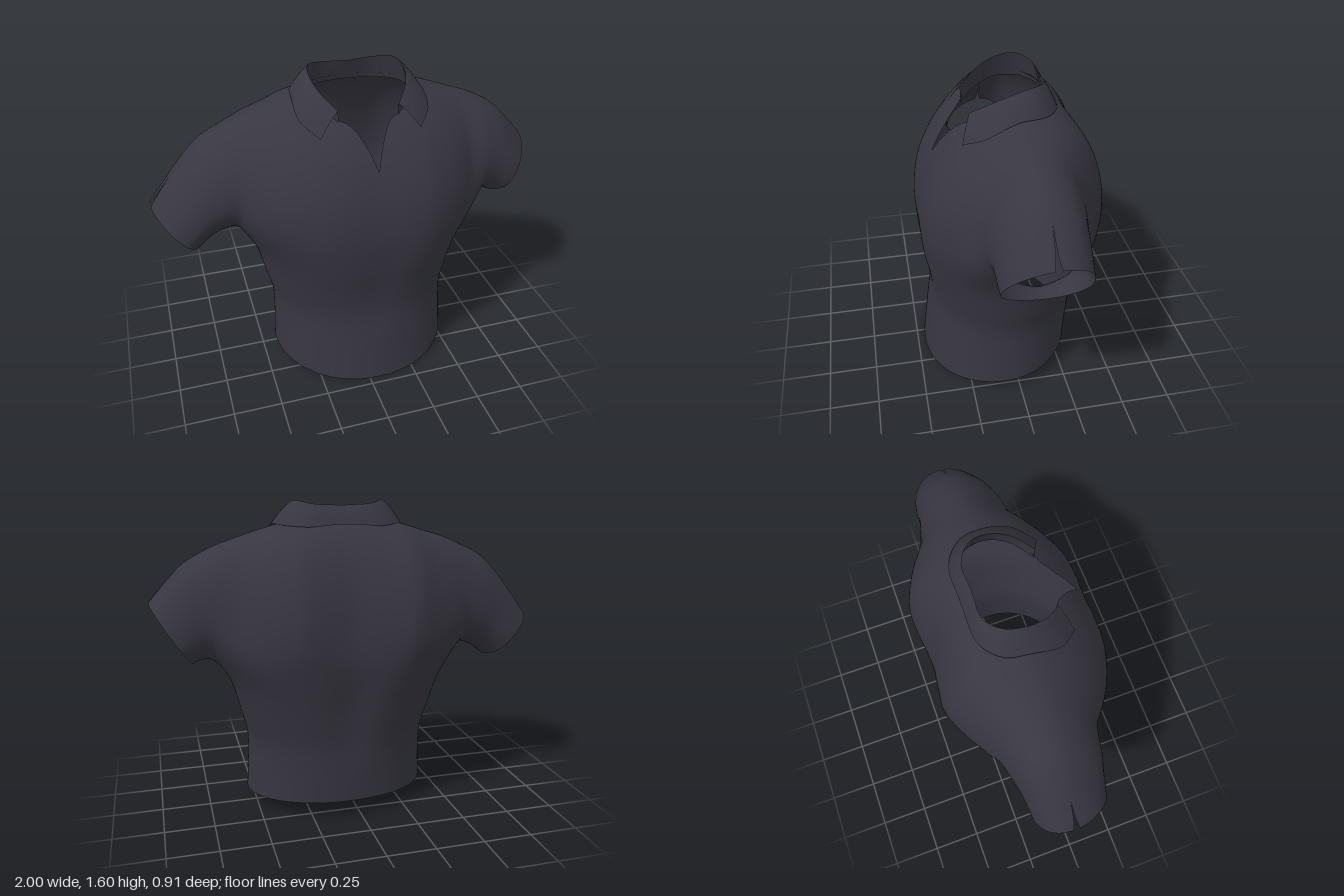
import * as THREE from 'three';
import { mergeVertices } from 'three/addons/utils/BufferGeometryUtils.js';

const CX = 0.055;      // centre line of the body
const ZT = -0.04;      // depth of shoulder ridge and armpits
const YA = 0.84;       // armpit height
const WA = 0.655;      // half width at the armpits
const NECK = 0.29;     // half width of the neck hole
const EXP = { 1: 1.27, [-1]: 0.8 };   // roundness of the front and back arches
const { lerp, clamp, smoothstep } = THREE.MathUtils;

// Smooth curve through [position, value] keys
function curve(keys) {
  const slope = i => {
    const a = keys[Math.max(i - 1, 0)], b = keys[Math.min(i + 1, keys.length - 1)];
    return (b[1] - a[1]) / (b[0] - a[0]);
  };
  return x => {
    let i = 0;
    while (i < keys.length - 2 && x > keys[i + 1][0]) i++;
    const [x0, y0] = keys[i], [x1, y1] = keys[i + 1], h = x1 - x0;
    const t = clamp((x - x0) / h, 0, 1), t2 = t * t, t3 = t2 * t;
    return y0 * (2 * t3 - 3 * t2 + 1) + y1 * (3 * t2 - 2 * t3)
      + h * (slope(i) * (t3 - 2 * t2 + t) + slope(i + 1) * (t3 - t2));
  };
}

// Shoulder line, and front/back outlines seen from above
const shoulder = curve([[-1, 0.99], [-0.9, 1.12], [-0.8, 1.24], [-0.7, 1.33], [-0.6, 1.385], [-0.42, 1.44],
  [-0.25, 1.49], [0.05, 1.54], [0.36, 1.49], [0.6, 1.42], [0.72, 1.385], [0.82, 1.32], [0.9, 1.24], [1, 1.13]]);
const outline = {
  1: curve([[-1, 0.175], [-0.8, 0.195], [-0.6, 0.235], [-0.4, 0.37], [-0.2, 0.44], [0.05, 0.43],
    [0.3, 0.44], [0.42, 0.39], [0.55, 0.29], [0.75, 0.205], [1, 0.175]]),
  [-1]: curve([[-1, 0.21], [-0.8, 0.23], [-0.6, 0.28], [-0.4, 0.38], [-0.25, 0.45], [0.05, 0.415],
    [0.3, 0.45], [0.45, 0.4], [0.6, 0.3], [0.75, 0.25], [1, 0.235]]),
};
// Body half width, side depth, and front/back depth by height
const width = curve([[0, 0.487], [0.06, 0.485], [0.3, 0.475], [0.4, 0.48], [0.5, 0.505], [0.7, 0.56], [0.8, 0.615], [YA, WA]]);
const sideZ = curve([[0, 0.045], [0.4, 0.02], [0.65, -0.015], [YA, ZT]]);
const depth = {
  1: curve([[0, 0.46], [0.2, 0.435], [0.4, 0.41], [0.55, 0.422], [0.7, 0.45], [YA, 0.465], [0.98, 0.465]]),
  [-1]: curve([[0.09, 0.335], [0.3, 0.35], [0.4, 0.36], [0.6, 0.4], [0.74, 0.433], [YA, 0.452], [0.98, 0.46]]),
};
// Neck hole: a V in front, an arc at the back
const neckV = curve([[0, 0.4], [0.15, 0.325], [0.35, 0.25], [0.6, 0.205], [0.85, 0.125], [1, 0]]);
const neckEdge = { 1: neckV, [-1]: t => 0.155 * Math.sqrt(1 - t * t) };

// Body cross-section: oval at the hem, fuller at the chest with a dip along the middle
function section(u, y, side) {
  const s = Math.min(1, Math.abs(u - CX) / WA), k = smoothstep(y, 0.2, 0.8);
  const dip = k * (side > 0 ? 0.03 : 0.08) * Math.exp(-((s / 0.2) ** 2));
  return s > 0.99999 ? 0 : Math.sqrt(1 - s ** lerp(2.1, 2.5, k)) * (1 - dip);
}

// Arch over the shoulder at station u, for the front (1) or back (-1)
function arch(u, side) {
  const e = EXP[side], sgn = Math.sign(u);
  const pit = CX + sgn * WA, cuff = u > 0 ? 0.8 : -0.77;
  const t = Math.max(0, (u - pit) / (sgn - pit));
  const k = t * (sgn - pit) / (cuff - pit + t * (sgn - cuff));   // eased run along the underside
  const r = (depth[side](YA) - side * ZT) * section(u, YA, side);
  const wide = outline[side](u) - side * ZT;
  const R = 0.5 * (wide + r + Math.hypot(wide - r, 0.01));
  const a = Math.acos(Math.min(1, (r / R) ** (1 / e)));
  const yb = lerp(YA, u > 0 ? 0.82 : 0.76, t), yt = shoulder(u);
  const xb = t > 0 ? lerp(pit, cuff, Math.min(k, 1)) : u;
  const down = 0.4 * (yt - yb), yc = yb + down * Math.sin(a), up = yt - yc;
  // upper end: neck edge, sleeve slit or shoulder ridge
  const n = Math.abs(u - CX) / NECK, slit = Math.max(0, (Math.abs(u) - 0.89) / 0.11);
  const gap = n < 1 ? neckEdge[side](n) : 0.006 * slit + 0.01 * slit ** 4;
  const end = Math.acos(Math.min(1, (gap / R) ** (1 / e)));
  return { R, a, e, yb, yt, xb, yc, up, down, end };
}

function archPoint(u, v, side) {
  const c = arch(u, side), q = lerp(-c.a, c.end, v), sn = Math.sin(q);
  const y = c.yc + (sn > 0 ? c.up : c.down) * sn;
  const z = ZT + side * c.R * Math.max(0, Math.cos(q)) ** c.e;
  return [lerp(c.xb, u, (y - c.yb) / (c.yt - c.yb)), y, z];
}

// Point on the body below the armpits; v runs from hem to armpit
function bodyPoint(u, v, side) {
  const zAt = y => sideZ(y) + (side * depth[side](y) - sideZ(y)) * section(u, y, side);
  const hz = zAt(0.05), hem = 0.065 - 0.085 * hz - 0.11 * Math.max(0, hz) ** 2;
  const y = lerp(hem, YA, v);
  return [CX + clamp((u - CX) / WA, -1, 1) * width(y), y, zAt(y)];
}

// Height of the cloth above a spot near the collar
function clothHeight(x, z) {
  const c = arch(x, z > ZT ? 1 : -1);
  const cs = Math.min(1, (Math.abs(z - ZT) / c.R) ** (1 / c.e));
  return c.yc + c.up * Math.sqrt(1 - cs * cs);
}

// Smooth surface from grids of points, each grid[column][row]
function surface(grids) {
  const pos = [], idx = [];
  for (const { grid, flip } of grids) {
    const base = pos.length / 3, n = grid[0].length;
    grid.forEach(col => col.forEach(p => pos.push(...p)));
    for (let i = 0; i < grid.length - 1; i++) for (let j = 0; j < n - 1; j++) {
      const a = base + i * n + j, b = a + n;
      if (flip) idx.push(a, b + 1, b, a, a + 1, b + 1);
      else idx.push(a, b, b + 1, a, b + 1, a + 1);
    }
  }
  const g = new THREE.BufferGeometry();
  g.setAttribute('position', new THREE.Float32BufferAttribute(pos, 3));
  g.setIndex(idx);
  return mergeVertices(g, 1e-4);
}

// Relax the cloth at chest height and around the armholes, leaving the cuffs alone
function relax(g, rounds) {
  const p = g.attributes.position.array, ix = g.index.array;
  const near = Array.from({ length: p.length / 3 }, () => new Set());
  ix.forEach((v, i) => {
    const f = i - i % 3;
    for (let k = 0; k < 3; k++) if (ix[f + k] !== v) near[v].add(ix[f + k]);
  });
  for (let n = 0; n < rounds; n++) {
    const old = p.slice();
    near.forEach((set, i) => {
      const [x, y] = old.slice(i * 3, i * 3 + 2);
      const cuff = smoothstep(Math.abs(x) - 0.6 * Math.max(0, y - 0.84), 0.68, 0.76);
      const chest = Math.exp(-(((y - YA - 0.03) / 0.12) ** 2));
      const armhole = y > YA ? Math.exp(-(((Math.abs(x - CX) - WA) / 0.08) ** 2)) : 0;
      const w = 0.5 * (1 - cuff) * Math.max(chest, armhole);
      if (w > 0.002) for (let k = 0; k < 3; k++) {
        let sum = 0;
        for (const j of set) sum += old[j * 3 + k];
        p[i * 3 + k] = lerp(old[i * 3 + k], sum / set.size, w);
      }
    });
  }
}

const steps = n => Array.from({ length: n + 1 }, (_, i) => i / n);
const columns = (us, n, fn, side) => us.map(u => steps(n).map(v => fn(u, v, side)));
const path = pts => new THREE.CatmullRomCurve3(pts.map(p => new THREE.Vector3(...p)));

export function createModel() {
  const group = new THREE.Group();
  const cloth = new THREE.MeshStandardMaterial({ color: 0x373641, side: THREE.DoubleSide });
  cloth.name = 'dark cloth';
  const add = (name, grids, rounds = 0) => {
    const g = surface(grids);
    relax(g, rounds);
    g.computeVertexNormals();
    const m = new THREE.Mesh(g, cloth);
    m.name = name;
    group.add(m);
  };

  // Stations across the body, denser at the neck edge and armpits
  const pn = Math.asin(NECK / WA);
  const half = [...steps(20).map(t => WA * Math.sin(pn * Math.sin(t * Math.PI / 2))),
    ...steps(24).slice(1).map(t => WA * Math.sin(lerp(pn, Math.PI / 2, t)))];
  const body = [...half.slice(1).reverse().map(d => CX - d), ...half.map(d => CX + d)];
  const sleeve = sgn => steps(16).slice(1).map(t => lerp(CX + sgn * WA, sgn, t));
  const all = [...sleeve(-1).reverse(), ...body, ...sleeve(1)];

  // Body, shoulders and sleeves as one smooth shell
  add('shirtBody', [1, -1].flatMap(side => [
    { grid: columns(body, 26, bodyPoint, side), flip: side < 0 },
    { grid: columns(all, 36, archPoint, side), flip: side < 0 },
  ]), 30);

  // Collar: half paths from the back centre to the front end
  const fold = path([[0, 1.585, -0.165], [0.14, 1.592, -0.165], [0.22, 1.607, -0.1],
    [0.238, 1.587, 0], [0.215, 1.54, 0.1], [0.15, 1.475, 0.19]]);
  const outer = path([[0, 0, -0.222], [0.2, 0, -0.214], [0.305, 0, -0.13],
    [0.33, 0, 0], [0.325, 0, 0.14], [0.25, 0, 0.24]]);
  const inner = path([[0, 0, -0.203], [0.16, 0, -0.19], [0.255, 0, -0.12],
    [0.275, 0, 0], [0.24, 0, 0.1], [0.148, 0, 0.187]]);
  const collarGrid = (edge, raise, bulge) => steps(64).map(t => {
    const w = t * 2 - 1, k = Math.abs(w), sgn = Math.sign(w);
    const f = fold.getPoint(k), o = edge.getPoint(k);
    const fx = CX + sgn * f.x, ox = CX + sgn * o.x, oy = clothHeight(ox, o.z) + raise;
    return steps(8).map(v => {
      const x = lerp(fx, ox, v), z = lerp(f.z, o.z, v);
      const y = lerp(f.y, oy, v) + bulge * Math.sin(Math.PI * v);
      return [x, bulge ? Math.max(y, clothHeight(x, z) + raise) : y, z];
    });
  });
  add('collarLeaf', [{ grid: collarGrid(outer, 0.01, 0.008), flip: true }]);
  add('collarStand', [{ grid: collarGrid(inner, -0.025, 0) }]);
  return group;
}
